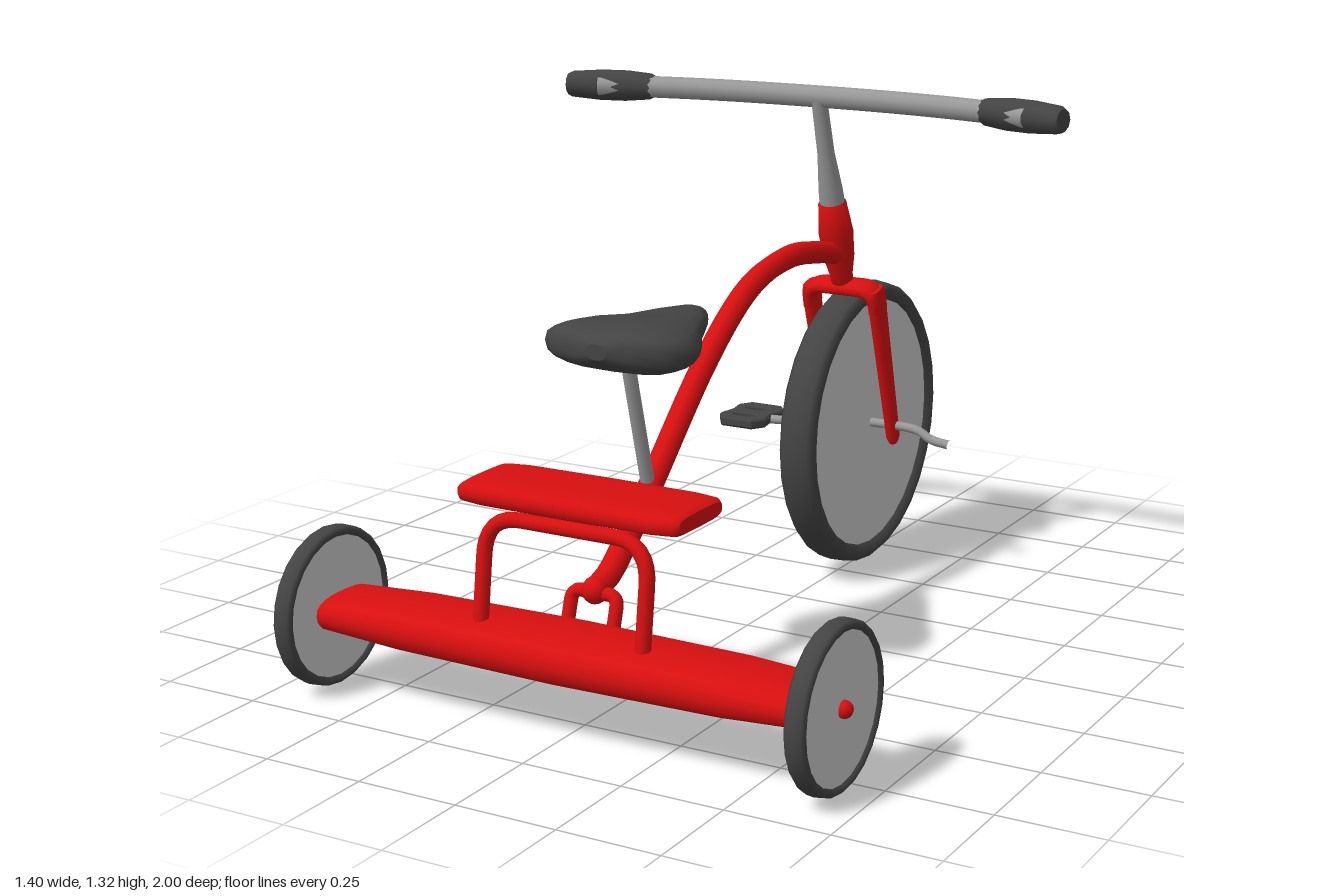
import * as THREE from 'three';

const mat = (color, side = THREE.FrontSide) => new THREE.MeshStandardMaterial({ color, side });
const red = mat(0xd80f0f), rubber = mat(0x444444), steel = mat(0x999999), grey = mat(0xcccccc);
const V = (x, y, z) => new THREE.Vector3(x, y, z);

function add(parent, name, geometry, material) {
  const mesh = new THREE.Mesh(geometry, material);
  mesh.name = name;
  parent.add(mesh);
  return mesh;
}

// Superellipse sections [z, halfWidth, centreY, halfHeight] lofted along z, with flat caps
function loft(sections, power = 1, sides = 16) {
  const pos = [], idx = [];
  const ring = ([z, w, cy, h]) => {
    for (let i = 0; i < sides; i++) {
      const a = (i / sides) * Math.PI * 2, c = Math.cos(a), s = Math.sin(a);
      pos.push(w * Math.sign(c) * Math.abs(c) ** power, cy + h * Math.sign(s) * Math.abs(s) ** power, z);
    }
  };
  sections.forEach(ring);
  for (let k = 0; k < sections.length - 1; k++) {
    for (let i = 0; i < sides; i++) {
      const j = (i + 1) % sides, a = k * sides, b = a + sides;
      idx.push(a + i, a + j, b + j, a + i, b + j, b + i);
    }
  }
  [sections[0], sections[sections.length - 1]].forEach((s, end) => {
    const base = pos.length / 3;
    ring(s);
    pos.push(0, s[2], s[0]);
    for (let i = 0; i < sides; i++) {
      const j = (i + 1) % sides;
      idx.push(base + sides, base + (end ? i : j), base + (end ? j : i));
    }
  });
  const g = new THREE.BufferGeometry();
  g.setAttribute('position', new THREE.Float32BufferAttribute(pos, 3));
  g.setIndex(idx);
  g.computeVertexNormals();
  return g;
}

// Tapered rod between two points
function rod(a, b, ra, rb = ra, sides = 10) {
  const d = b.clone().sub(a), g = new THREE.CylinderGeometry(rb, ra, d.length(), sides);
  g.applyQuaternion(new THREE.Quaternion().setFromUnitVectors(V(0, 1, 0), d.normalize()));
  const m = a.clone().add(b).multiplyScalar(0.5);
  return g.translate(m.x, m.y, m.z);
}

const tube = (points, r, segments = 32, tension = 0.5) =>
  new THREE.TubeGeometry(new THREE.CatmullRomCurve3(points, false, 'catmullrom', tension), segments, r, 10);

// Upside-down U of tube with rounded corners
function arch(w, top, topZ, bottom, bottomZ, c, r) {
  const p = new THREE.CurvePath();
  const legZ = topZ + (bottomZ - topZ) * c / (top - bottom);
  const a = V(-w, bottom, bottomZ), b = V(-w, top - c, legZ), d = V(-w + c, top, topZ);
  const m = v => V(-v.x, v.y, v.z);
  p.add(new THREE.LineCurve3(a, b));
  p.add(new THREE.QuadraticBezierCurve3(b, V(-w, top, topZ), d));
  p.add(new THREE.LineCurve3(d, m(d)));
  p.add(new THREE.QuadraticBezierCurve3(m(d), V(w, top, topZ), m(b)));
  p.add(new THREE.LineCurve3(m(b), m(a)));
  return new THREE.TubeGeometry(p, 48, r, 10);
}

// Tyre with a slightly recessed solid disc, axle along x
function wheel(name, r, half, rim, sides) {
  const g = new THREE.Group();
  g.name = name;
  const inner = r - rim;
  const profile = [[inner, -half * 0.6], [inner + rim * 0.2, -half * 0.9], [r - rim * 0.4, -half], [r - rim * 0.1, -half * 0.7],
    [r, 0], [r - rim * 0.1, half * 0.7], [r - rim * 0.4, half], [inner + rim * 0.2, half * 0.9], [inner, half * 0.6]];
  const tyre = new THREE.LatheGeometry(profile.map(p => new THREE.Vector2(...p)), sides);
  add(g, 'tyre', tyre.rotateZ(Math.PI / 2), rubber);
  add(g, 'wheelDisc', new THREE.CylinderGeometry(inner + 0.005, inner + 0.005, half * 1.4, sides).rotateZ(Math.PI / 2), grey);
  return g;
}

export function createModel() {
  const model = new THREE.Group();
  model.name = 'tricycle';

  // Wheels
  const big = wheel('largeWheel', 0.38, 0.05, 0.052, 28);
  big.position.set(0, 0.39, -0.62);
  model.add(big);
  for (const s of [-1, 1]) {
    const w = wheel('smallWheel', 0.191, 0.025, 0.024, 24);
    w.position.set(s * 0.66, 0.196, 0.809);
    model.add(w);
    const cap = add(model, 'hubCap', new THREE.SphereGeometry(0.02, 10, 8), red);
    cap.position.set(s * 0.682, 0.196, 0.809);
  }
  add(model, 'axle', rod(V(-0.68, 0.196, 0.809), V(0.68, 0.196, 0.809), 0.015), red);

  // Deck between the small wheels
  const deck = loft([[-0.638, 0.09, 0, 0.036], [-0.625, 0.1, 0, 0.043], [-0.42, 0.109, 0, 0.055], [0, 0.114, 0, 0.06],
    [0.42, 0.109, 0, 0.055], [0.625, 0.1, 0, 0.043], [0.638, 0.09, 0, 0.036]], 0.8, 20);
  add(model, 'deck', deck.rotateY(Math.PI / 2), red).position.set(0, 0.196, 0.805);

  // Step platform on its bent tube support
  const step = loft([[-0.288, 0.092, 0, 0.018], [-0.275, 0.104, 0, 0.026], [-0.22, 0.112, 0, 0.028], [0, 0.113, 0, 0.029],
    [0.22, 0.112, 0, 0.028], [0.275, 0.104, 0, 0.026], [0.288, 0.092, 0, 0.018]], 0.55, 20);
  add(model, 'stepPlatform', step.rotateY(Math.PI / 2), red).position.set(0, 0.529, 0.722);
  add(model, 'stepSupport', arch(0.212, 0.485, 0.812, 0.2, 0.85, 0.09, 0.018), red);

  // Curved main tube and the bracket that joins it to the deck
  add(model, 'mainTube', tube([V(0, 0.31, 0.7), V(0, 0.345, 0.62), V(0, 0.49, 0.46), V(0, 0.725, 0.21), V(0, 0.865, 0),
    V(0, 0.908, -0.2), V(0, 0.895, -0.36), V(0, 0.868, -0.49)], 0.029, 48), red);
  add(model, 'mainTubeEnd', new THREE.SphereGeometry(0.032, 10, 8), red).position.set(0, 0.31, 0.7);
  add(model, 'deckBracket', arch(0.06, 0.305, 0.7, 0.19, 0.735, 0.025, 0.016), red);

  // Saddle and post
  add(model, 'saddlePost', rod(V(0, 0.48, 0.465), V(0, 0.83, 0.558), 0.017), steel);
  add(model, 'saddle', loft([[0.238, 0.012, 0.849, 0.016], [0.262, 0.042, 0.849, 0.03], [0.33, 0.075, 0.85, 0.034],
    [0.42, 0.116, 0.848, 0.038], [0.5, 0.163, 0.846, 0.05], [0.56, 0.184, 0.846, 0.054], [0.61, 0.182, 0.847, 0.053],
    [0.645, 0.145, 0.85, 0.045], [0.668, 0.08, 0.852, 0.034], [0.682, 0.025, 0.853, 0.018]], 0.75, 20), rubber);

  // Raked fork, head and stem: local y runs up the steering axis from the wheel hub
  const fork = new THREE.Group();
  fork.name = 'fork';
  fork.position.set(0, 0.39, -0.62);
  fork.rotation.x = 0.272;
  model.add(fork);
  for (const s of [-1, 1]) {
    const blade = loft([[-0.052, 0.01, 0, 0.014], [-0.035, 0.016, 0, 0.021], [0.05, 0.017, 0, 0.022], [0.28, 0.018, 0, 0.031],
      [0.385, 0.018, 0, 0.036], [0.405, 0.014, 0, 0.03]], 0.8, 12);
    add(fork, 'forkBlade', blade.rotateX(-Math.PI / 2), red).position.x = s * 0.095;
  }
  const crown = arch(0.095, 0, 0, -0.06, 0, 0.045, 0.02);
  const crownMesh = add(fork, 'forkCrown', crown, red);
  crownMesh.position.y = 0.405;
  crownMesh.scale.z = 1.9;
  const lathe = pts => new THREE.LatheGeometry(pts.map(p => new THREE.Vector2(...p)), 12);
  add(fork, 'headTube', lathe([[0, 0.395], [0.028, 0.395], [0.03, 0.44], [0.04, 0.49], [0.045, 0.56], [0.036, 0.645], [0, 0.65]]), red);
  add(fork, 'stem', lathe([[0.033, 0.63], [0.031, 0.68], [0.022, 0.78], [0.02, 0.93]]), steel);

  // Swept handlebar with bulging grips
  add(model, 'handlebar', tube([-0.6, -0.46, -0.25, 0, 0.25, 0.46, 0.6].map(x =>
    V(x, 1.29, -0.378 + 0.16 * x * x + 0.16 * Math.max(0, Math.abs(x) - 0.4))), 0.028, 40), steel);
  for (const s of [-1, 1]) {
    const grip = add(model, 'grip', loft([[-0.12, 0.026, 0, 0.026], [-0.105, 0.034, 0, 0.034], [-0.04, 0.04, 0, 0.04], [0.03, 0.04, 0, 0.04],
      [0.108, 0.034, 0, 0.034], [0.119, 0.028, 0, 0.028]], 1, 10), rubber);
    grip.position.set(s * 0.575, 1.29, -0.312);
    grip.rotation.y = s * (Math.PI / 2 - 0.23);
  }

  // Crank through the wheel hub
  add(model, 'crank', tube([V(-0.34, 0.36, -0.62), V(-0.27, 0.358, -0.62), V(-0.21, 0.365, -0.62), V(-0.155, 0.388, -0.62),
    V(0, 0.39, -0.62), V(0.155, 0.388, -0.62), V(0.21, 0.365, -0.62), V(0.262, 0.357, -0.62)], 0.012, 40), steel);

  // Pedal plate with two oval openings
  const plate = new THREE.Shape([[-0.045, -0.085], [0.045, -0.085], [0.067, -0.05], [0.058, 0], [0.067, 0.05], [0.045, 0.085],
    [-0.045, 0.085], [-0.067, 0.05], [-0.058, 0], [-0.067, -0.05]].map(p => new THREE.Vector2(...p)));
  for (const s of [-1, 1]) {
    const hole = new THREE.Path();
    hole.absellipse(0, s * 0.036, 0.042, 0.022, 0, Math.PI * 2, true);
    plate.holes.push(hole);
  }
  const pedal = new THREE.ExtrudeGeometry(plate, { depth: 0.016, bevelSize: 0.004, bevelThickness: 0.005, bevelSegments: 1, curveSegments: 8 });
  add(model, 'pedal', pedal.translate(0, 0, -0.008).rotateX(Math.PI / 2), rubber).position.set(-0.331, 0.36, -0.62);

  return model;
}
